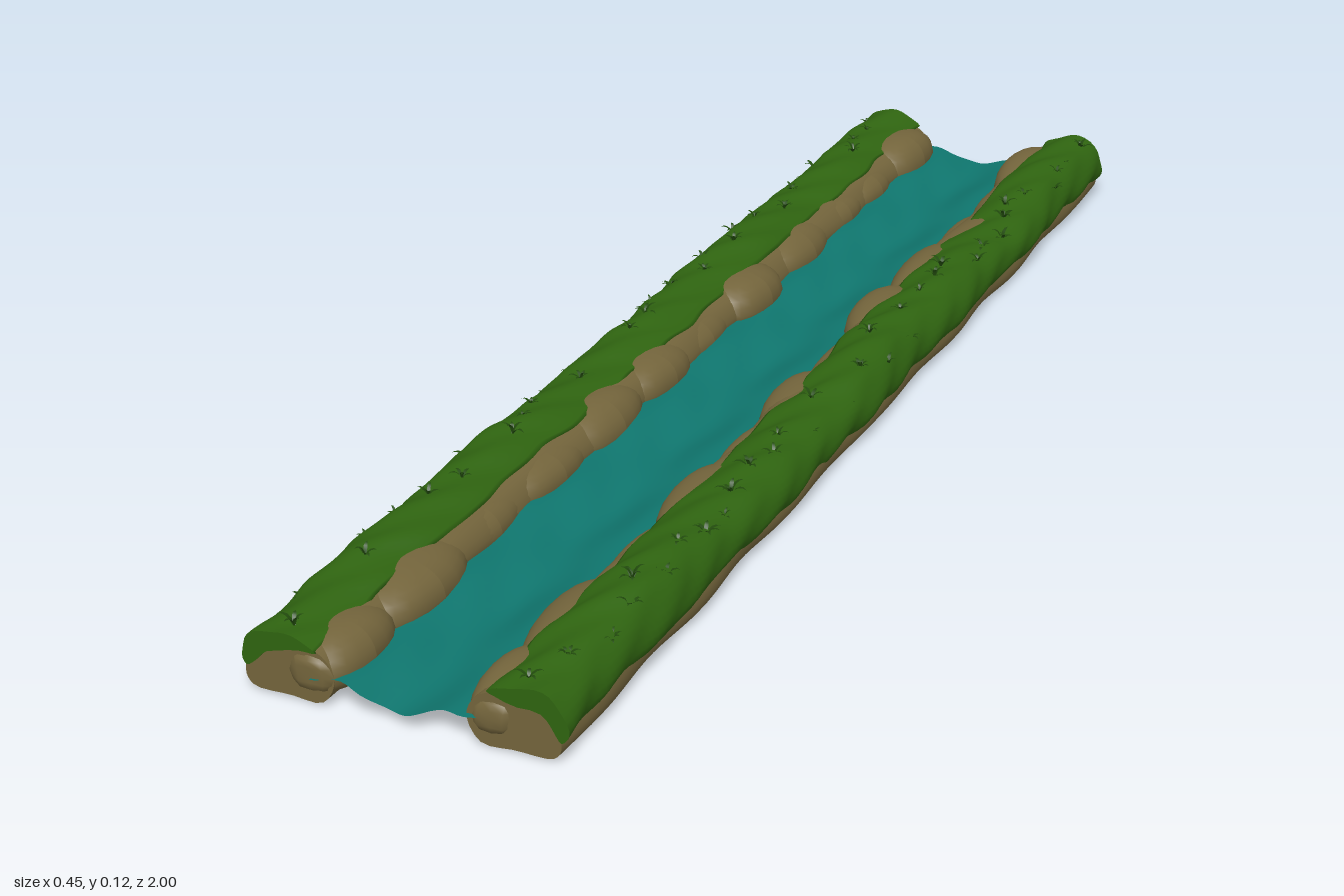
import * as THREE from 'three';
import { mergeGeometries } from 'three/addons/utils/BufferGeometryUtils.js';

const mat = (name, color, side = THREE.FrontSide) => {
  const m = new THREE.MeshStandardMaterial({ color, side });
  m.name = name;
  return m;
};

function seeded(seed) {
  return () => {
    seed = (seed * 16807) % 2147483647;
    return seed / 2147483647;
  };
}

// Closed smooth section swept along z, with flat ends; warp(p, z) shifts each point
function loft(section, zEnd, rings, warp) {
  const curve = new THREE.CatmullRomCurve3(section.map(([x, y]) => new THREE.Vector3(x, y, 0)), true);
  const base = curve.getPoints(30).slice(0, 30);
  const n = base.length, pos = [], index = [];
  for (let i = 0; i <= rings; i++) {
    const z = zEnd * (2 * i / rings - 1);
    for (const b of base) {
      const p = b.clone();
      warp(p, z);
      pos.push(p.x, p.y, z);
    }
  }
  for (let i = 0; i < rings; i++) {
    for (let j = 0; j < n; j++) {
      const a = i * n + j, b = i * n + (j + 1) % n;
      index.push(a, b, b + n, a, b + n, a + n);
    }
  }
  // Caps have their own corners so the end edge stays sharp
  for (const ring of [0, rings]) {
    const start = pos.length / 3;
    const ringPos = pos.slice(ring * n * 3, (ring + 1) * n * 3);
    const flat = base.map((_, j) => new THREE.Vector2(ringPos[j * 3], ringPos[j * 3 + 1]));
    pos.push(...ringPos);
    for (const [a, b, c] of THREE.ShapeUtils.triangulateShape(flat, [])) {
      if (ring) index.push(start + a, start + b, start + c);
      else index.push(start + a, start + c, start + b);
    }
  }
  const g = new THREE.BufferGeometry();
  g.setAttribute('position', new THREE.Float32BufferAttribute(pos, 3));
  g.setIndex(index);
  g.computeVertexNormals();
  return g;
}

// Boulder with a flattened underside, cut off at the ends of the strip
function stoneGeometry(z0, halfLength, reach, height, seed) {
  const g = new THREE.SphereGeometry(1, 20, 14);
  const p = g.attributes.position;
  const soft = (v, e) => Math.sign(v) * Math.abs(v) ** e;
  const inner = 0.12 - reach;
  for (let i = 0; i < p.count; i++) {
    const x = p.getX(i), y = p.getY(i), z = p.getZ(i);
    const lump = 1 + 0.05 * Math.sin(3 * x + 2 * z + seed) * Math.cos(2 * y + seed);
    const yy = 0.04 + soft(y, 0.85) * (y > 0 ? height - 0.04 : 0.037) * lump;
    p.setXYZ(i,
      0.12 + soft(x, 0.85) * inner * lump + (y > 0 ? 0.008 * y : 0),
      Math.max(0.006, yy),
      THREE.MathUtils.clamp(z0 + soft(z, 0.9) * halfLength, -0.995, 0.995));
  }
  g.computeVertexNormals();
  return g;
}

// Pointed, drooping leaf growing along +x
function leafGeometry(length, width) {
  const g = new THREE.PlaneGeometry(1, 1, 4, 1);
  const p = g.attributes.position;
  for (let i = 0; i < p.count; i++) {
    const t = p.getX(i) + 0.5;
    const w = width * (0.35 + 1.6 * t) * (1 - t);
    p.setXYZ(i, length * t * 0.85, length * (1.3 * t - 0.95 * t * t), -p.getY(i) * w);
  }
  g.computeVertexNormals();
  return g;
}

const crest = (z, s) => 0.005 * Math.cos(z * 7.5 + s) + 0.003 * Math.sin(z * 17 + s * 2) + 0.003 * (z * z);

// One bank on +x: earth, turf, stones and plants
function makeBank(name, stones, seed, mats) {
  const bank = new THREE.Group();
  bank.name = name;
  const add = (part, geometry, material) => {
    const mesh = new THREE.Mesh(geometry, material);
    mesh.name = part;
    bank.add(mesh);
  };

  const earth = [[0.105, 0.005], [0.15, 0.003], [0.2, 0.004], [0.212, 0.018], [0.21, 0.045],
    [0.19, 0.072], [0.14, 0.078], [0.105, 0.066], [0.09, 0.038]];
  add('earthBank', loft(earth, 0.99, 100, (p, z) => {
    p.x += 0.003 * Math.sin(z * 21 + p.y * 30 + seed);
    p.y = Math.max(0, p.y + 0.0015 * Math.sin(z * 27 + p.x * 30 + seed));
  }), mats.stone);

  const turf = [[0.2, 0.04], [0.211, 0.031], [0.219, 0.044], [0.214, 0.068], [0.195, 0.086],
    [0.165, 0.092], [0.138, 0.086], [0.115, 0.074], [0.14, 0.068], [0.185, 0.06]];
  add('grassTurf', loft(turf, 0.992, 150, (p, z) => {
    const up = THREE.MathUtils.smoothstep(p.y, 0.06, 0.09);
    p.y += up * crest(z, seed) + 0.0022 * Math.sin(z * 47 + p.x * 90 + seed);
    p.x += 0.003 * Math.sin(z * 19 + seed) + 0.0018 * Math.sin(z * 53 + p.y * 120);
  }), mats.grass);

  add('riverStones', mergeGeometries(stones.map(([z, half, inner, h], i) =>
    stoneGeometry(z, half, inner, h, seed + i * 1.7))), mats.stone);

  // Leafy tufts along the crest and the outer slope
  const rnd = seeded(1000 + seed * 77), leaves = [];
  for (let i = 0; i < 34; i++) {
    const z = -0.95 + i * 1.9 / 33 + (rnd() - 0.5) * 0.03;
    const x = 0.155 + rnd() * 0.052;
    const drop = Math.max(0, x - 0.172);
    const y = 0.089 + crest(z, seed) - drop * 0.35 - drop * drop * 9;
    const count = 5 + Math.floor(rnd() * 3), size = 0.013 + rnd() * 0.011, turn = rnd() * 6;
    for (let k = 0; k < count; k++) {
      const leaf = leafGeometry(size * (0.8 + rnd() * 0.4), size * 0.42);
      leaf.rotateZ(rnd() * 0.6 - 0.1);
      leaf.rotateY(turn + k * 2 * Math.PI / count);
      leaf.translate(x, y, z);
      leaves.push(leaf);
    }
  }
  add('leafTufts', mergeGeometries(leaves), mats.leaf);
  return bank;
}

// Rippled sheet sagging towards the middle
function waterGeometry() {
  const g = new THREE.PlaneGeometry(0.24, 1.99, 24, 110);
  g.rotateX(-Math.PI / 2);
  const p = g.attributes.position;
  for (let i = 0; i < p.count; i++) {
    const x = p.getX(i), z = p.getZ(i);
    const rise = THREE.MathUtils.smoothstep(Math.abs(x), 0, 0.075);
    const ripple = 0.0016 * Math.sin(z * 24 + x * 40) + 0.0014 * Math.sin(z * 41 - x * 65);
    p.setY(i, 0.019 + 0.019 * rise + ripple);
    if (Math.abs(z) > 0.99) p.setZ(i, z + 0.004 * Math.sin(x * 90));
  }
  g.computeVertexNormals();
  return g;
}

export function createModel() {
  const model = new THREE.Group();
  model.name = 'riverSection';
  const mats = {
    stone: mat('earthBrown', 0x74653c),
    grass: mat('grassGreen', 0x2f6410),
    leaf: mat('leafGreen', 0x224c0d),
  };

  // Stones as [z, half length, inner x, top y]
  const leftStones = [[-0.91, 0.09, 0.067, 0.085], [-0.75, 0.08, 0.085, 0.072], [-0.6, 0.09, 0.083, 0.07],
    [-0.43, 0.115, 0.07, 0.082], [-0.25, 0.09, 0.065, 0.085], [-0.07, 0.1, 0.085, 0.07],
    [0.08, 0.09, 0.073, 0.08], [0.25, 0.09, 0.083, 0.07], [0.41, 0.1, 0.074, 0.08],
    [0.58, 0.09, 0.083, 0.07], [0.77, 0.11, 0.07, 0.083], [0.92, 0.08, 0.074, 0.08]];
  const rightStones = [[-0.91, 0.095, 0.068, 0.085], [-0.75, 0.08, 0.084, 0.072], [-0.62, 0.08, 0.085, 0.07],
    [-0.45, 0.1, 0.078, 0.078], [-0.25, 0.09, 0.066, 0.085], [-0.08, 0.09, 0.086, 0.07],
    [0.07, 0.09, 0.076, 0.08], [0.24, 0.1, 0.074, 0.08], [0.41, 0.1, 0.08, 0.075],
    [0.58, 0.09, 0.086, 0.07], [0.76, 0.11, 0.07, 0.083], [0.92, 0.085, 0.072, 0.08]];

  model.add(makeBank('leftBank', leftStones, 1, mats));
  // The right bank is turned half round, so its stone positions are reversed
  const right = makeBank('rightBank', rightStones.map(([z, ...rest]) => [-z, ...rest]), 4, mats);
  right.rotation.y = Math.PI;
  model.add(right);

  const water = new THREE.Mesh(waterGeometry(), mat('waterTeal', 0x0f766e, THREE.DoubleSide));
  water.name = 'water';
  model.add(water);

  mats.leaf.side = THREE.DoubleSide;
  return model;
}
